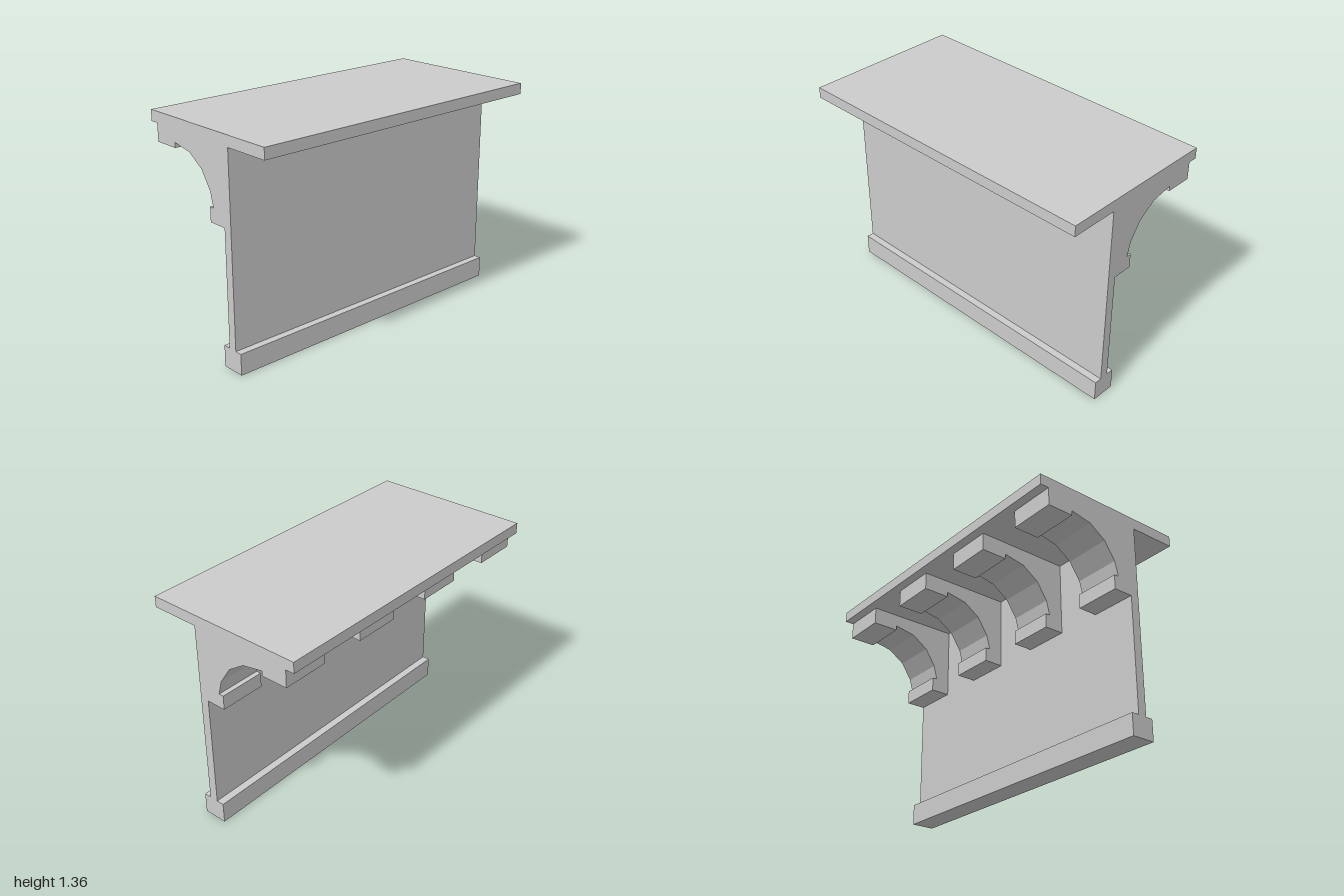
import * as THREE from 'three';

const LENGTH = 2;
const BAYS = 7; // brackets and gaps alternate in equal bays

export function createModel() {
  const model = new THREE.Group();
  const material = new THREE.MeshStandardMaterial({ color: 0xcccccc, flatShading: true });

  // Full-length box given by its limits in x and y
  function addBeam(name, x0, x1, y0, y1) {
    const beam = new THREE.Mesh(new THREE.BoxGeometry(x1 - x0, y1 - y0, LENGTH), material);
    beam.name = name;
    beam.position.set((x0 + x1) / 2, (y0 + y1) / 2, 0);
    model.add(beam);
  }

  addBeam('basePlinth', 0.097, 0.245, 0, 0.13);
  addBeam('wall', 0.145, 0.2, 0.13, 1.293);
  addBeam('topSlab', -0.5, 0.5, 1.293, 1.36);

  // Bracket profile: hanging block, faceted arch, lower corbel
  const profile = new THREE.Shape([
    [0.145, 1.293], [-0.445, 1.293], [-0.445, 1.185], [-0.28, 1.185],
    [-0.28, 1.216], [-0.145, 1.191], [-0.04, 1.12], [0.029, 1.015],
    [0.052, 0.926], [0.022, 0.926], [0.022, 0.838], [0.145, 0.838],
  ].map(([x, y]) => new THREE.Vector2(x, y)));
  const depth = LENGTH / BAYS;
  const bracketGeometry = new THREE.ExtrudeGeometry(profile, { depth, bevelEnabled: false });

  // Brackets fill every other bay, starting and ending at the slab ends
  const brackets = new THREE.Group();
  brackets.name = 'brackets';
  for (let bay = 0; bay < BAYS; bay += 2) {
    const bracket = new THREE.Mesh(bracketGeometry, material);
    bracket.name = 'bracket';
    bracket.position.z = -LENGTH / 2 + bay * depth;
    brackets.add(bracket);
  }
  model.add(brackets);

  return model;
}
